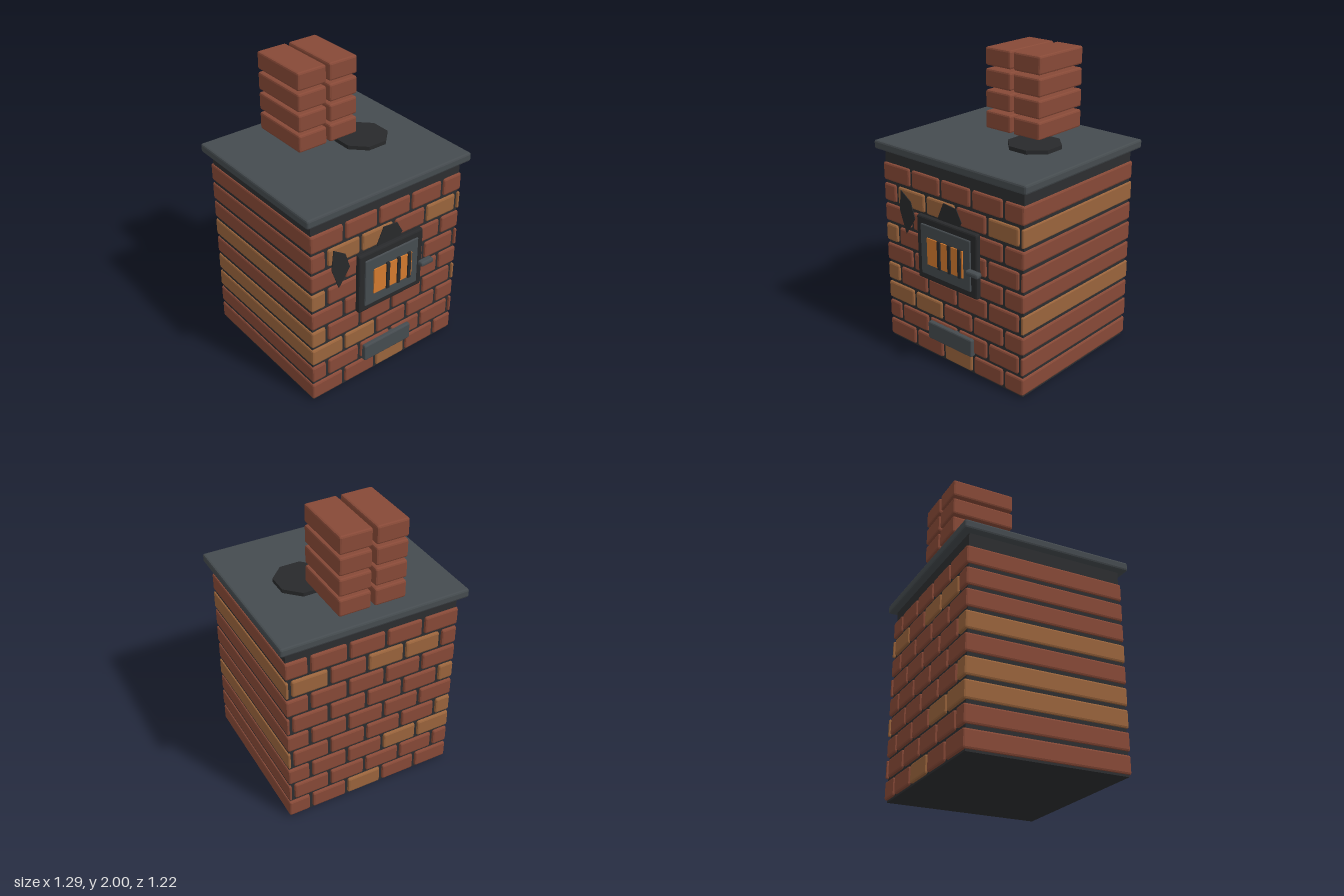
import * as THREE from 'three';
import { RoundedBoxGeometry } from 'three/addons/geometries/RoundedBoxGeometry.js';

const mat = (name, color) => {
  const m = new THREE.MeshStandardMaterial({ color });
  m.name = name;
  return m;
};

export function createModel() {
  const red = mat('red brick', 0x874937);
  const tan = mat('tan brick', 0x9a643c);
  const mortar = mat('dark mortar', 0x2d2e30);
  const iron = mat('grey iron', 0x454b4f);
  const black = mat('black iron', 0x28292b);
  const ember = mat('ember orange', 0xd37a2e);

  const model = new THREE.Group();
  model.name = 'brickStove';

  const add = (parent, name, geometry, material) => {
    const mesh = new THREE.Mesh(geometry, material);
    mesh.name = name;
    parent.add(mesh);
    return mesh;
  };

  // Box given by its bounds, with flat chamfered edges when bevel > 0
  const block = (parent, name, material, [x0, x1], [y0, y1], [z0, z1], bevel = 0) => {
    const size = [x1 - x0, y1 - y0, z1 - z0];
    const r = Math.min(bevel, Math.min(...size) * 0.4);
    const geometry = r > 0 ? new RoundedBoxGeometry(...size, 1, r) : new THREE.BoxGeometry(...size);
    geometry.computeVertexNormals();
    const mesh = add(parent, name, geometry, material);
    mesh.position.set((x0 + x1) / 2, (y0 + y1) / 2, (z0 + z1) / 2);
    return mesh;
  };

  const group = (name) => {
    const g = new THREE.Group();
    g.name = name;
    model.add(g);
    return g;
  };

  // Mortar core
  block(model, 'mortarCore', mortar, [-0.595, 0.595], [0, 1.38], [-0.56, 0.505]);

  // Brick courses in running bond; each brick runs the full depth
  const courses = group('brickCourses');
  const tanBricks = { 0: [2], 2: [0, 1], 3: [0, 5], 5: [0], 7: [1, 2, 4, 5] };
  const pitch = 0.265, half = 0.605;
  for (let row = 0; row < 9; row++) {
    const odd = row % 2;
    const y = 0.013 + row * 0.144;
    for (let i = 0; i < 5 + odd; i++) {
      const start = (odd ? -0.74 : -half) + i * pitch;
      const x = [Math.max(start, -half), Math.min(start + 0.243, half)];
      const material = tanBricks[row]?.includes(i) ? tan : red;
      block(courses, 'brick', material, x, [y, y + 0.122], [-0.578, 0.52], 0.013);
    }
  }

  // Top slab and octagonal flue plate
  block(model, 'topSlab', iron, [-0.648, 0.646], [1.375, 1.435], [-0.612, 0.552], 0.013);
  const plate = add(model, 'fluePlate',
    new THREE.CylinderGeometry(0.179, 0.179, 0.03, 8, 1, false, Math.PI / 8).toNonIndexed(), black);
  plate.geometry.computeVertexNormals();
  plate.position.set(0.22, 1.446, -0.034);

  // Chimney: two stacks of bricks
  const chimney = group('chimney');
  for (let row = 0; row < 4; row++) {
    const y = 1.454 + row * 0.1417;
    for (const x of [[-0.243, -0.026], [0, 0.217]]) {
      block(chimney, 'chimneyBrick', red, x, [y, y + 0.121], [-0.518, -0.078], 0.013);
    }
  }

  // Fire door with ember window, bars and handle
  const door = group('fireDoor');
  block(door, 'doorFrame', black, [-0.265, 0.26], [0.58, 1.02], [0.515, 0.555], 0.012);
  block(door, 'doorPanel', iron, [-0.222, 0.212], [0.625, 0.972], [0.54, 0.565], 0.006);
  block(door, 'emberWindow', ember, [-0.158, 0.155], [0.705, 0.89], [0.565, 0.573]);
  for (const x of [-0.048, 0.042, 0.13]) {
    block(door, 'grateBar', black, [x - 0.013, x + 0.013], [0.7, 0.9], [0.56, 0.583], 0.005);
  }
  block(door, 'doorHandle', iron, [0.21, 0.315], [0.76, 0.795], [0.565, 0.612], 0.012);

  // Ash drawer
  block(model, 'ashDrawer', iron, [-0.2, 0.195], [0.14, 0.265], [0.505, 0.548], 0.01);

  // Soot patches on the front wall
  const soot = (name, points) => {
    const shape = new THREE.Shape(points.map(([x, y]) => new THREE.Vector2(x, y)));
    const geometry = new THREE.ExtrudeGeometry(shape, { depth: 0.006, bevelEnabled: false });
    add(model, name, geometry, black).position.z = 0.519;
  };
  soot('sootPatchLeft', [[-0.44, 1.13], [-0.455, 0.99], [-0.4, 0.835], [-0.315, 0.96], [-0.35, 1.07]]);
  soot('sootPatchTop', [[-0.05, 1.14], [-0.1, 1.03], [-0.06, 0.93], [0.05, 0.93], [0.105, 1.05], [0.06, 1.13]]);

  return model;
}
